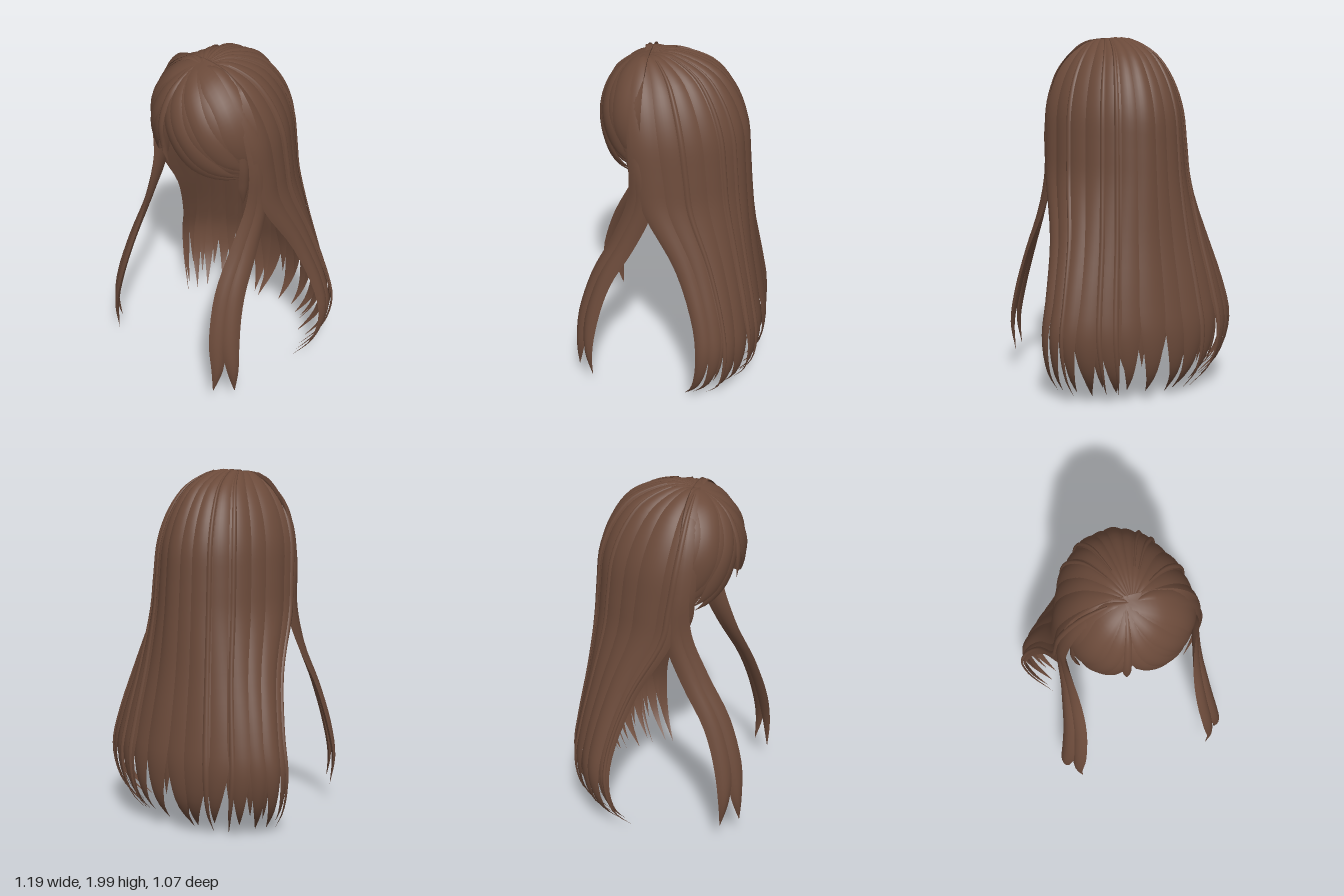
import * as THREE from 'three';

const V = (x, y, z) => new THREE.Vector3(x, y, z);
const lerp = THREE.MathUtils.lerp;

let seed = 7;
const rand = () => (seed = (seed * 16807) % 2147483647) / 2147483647;

// Lens-shaped lock: place(s, v) gives a point p, outward normal n and thickness
function lockGeometry(place, rows = 30, cols = 6) {
  const pos = [], index = [];
  for (const side of [1, -0.35]) {
    const base = pos.length / 3;
    for (let i = 0; i <= rows; i++) {
      for (let j = 0; j <= cols; j++) {
        const s = (j / cols) * 2 - 1;
        const { p, n, thick } = place(s, i / rows);
        p.addScaledVector(n, thick * side * (1 - s * s));
        pos.push(p.x, p.y, p.z);
        if (i < rows && j < cols) {
          const a = base + i * (cols + 1) + j, b = a + 1, c = a + cols + 1, d = c + 1;
          if (side > 0) index.push(a, c, b, b, c, d);
          else index.push(a, b, c, b, d, c);
        }
      }
    }
  }
  const g = new THREE.BufferGeometry();
  g.setAttribute('position', new THREE.Float32BufferAttribute(pos, 3));
  g.setIndex(index);
  g.computeVertexNormals();
  return g;
}

// Pointed end: full width until start, then narrowing to nothing
const taper = (v, start) => (v < start ? 1 : 1 - Math.pow((v - start) / (1 - start), 1.6));

// Flow of the long hair from crown to tips: height, half width, centre z, depth
const flow = [
  [1.968, 0.005, 0.175, 0.005], [1.988, 0.11, 0.175, 0.175], [1.915, 0.225, 0.17, 0.365],
  [1.78, 0.315, 0.16, 0.475], [1.6, 0.372, 0.14, 0.525], [1.4, 0.392, 0.11, 0.515],
  [1.2, 0.41, 0.07, 0.49], [0.9, 0.465, -0.09, 0.36], [0.6, 0.54, -0.19, 0.31],
  [0.38, 0.58, -0.21, 0.32], [0.17, 0.54, -0.17, 0.33], [0.005, 0.43, -0.08, 0.3],
];
const heightWidth = new THREE.CatmullRomCurve3(flow.map(r => V(r[1], r[0], 0)), false, 'catmullrom', 0.5);
const depth = new THREE.CatmullRomCurve3(flow.map(r => V(r[2], r[3], 0)), false, 'catmullrom', 0.5);

function backPoint(u, t) {
  const a = u * 1.66, h = heightWidth.getPoint(t), d = depth.getPoint(t);
  // The crown slopes down a little more towards the sides
  const drop = 0.025 * Math.sin(a) ** 2 * Math.sin(Math.PI * Math.min(1, t * 2.8));
  return V(h.x * Math.sin(a), h.y - drop, d.x - d.y * Math.cos(a));
}
function backNormal(u, t) {
  const e = 0.004, t0 = Math.max(t, 0.02);
  const du = backPoint(u + e, t0).sub(backPoint(u - e, t0));
  const dt = backPoint(u, Math.min(1, t0 + e)).sub(backPoint(u, t0 - e));
  return du.cross(dt).normalize();
}
function backLock(u, half, thick, lift, start, end, taperAt, drift) {
  return lockGeometry((s, v) => {
    const t = lerp(start, end, v);
    const uu = u + s * half * taper(v, taperAt) + drift * Math.max(0, v - 0.7) ** 2 * 10;
    const n = backNormal(uu, t), grow = Math.min(1, t * 5);
    const p = backPoint(uu, t).addScaledVector(n, lift * grow);
    return { p, n, thick: thick * grow * taper(v, taperAt) };
  }, 40, 8);
}

// Lining under the back hair with a stepped lower edge
function capGeometry() {
  return lockGeometry((s, v) => {
    const end = Math.max(0.36, Math.round((0.575 - 0.57 * s * s) * 60) / 60);
    const t = lerp(0.004, end, v), n = backNormal(s, t);
    return { p: backPoint(s, t).addScaledVector(n, -0.025 * Math.min(1, t * 5)), n, thick: 0.003 };
  }, 24, 60);
}

// Rounded surface that the fringe lies on
function fringePoint(x, y) {
  const dy = y - 1.62, ry = dy > 0 ? 0.36 : 0.5, rx = x > 0 ? 0.36 : 0.35;
  const z = 0.1 + 0.315 * Math.sqrt(Math.max(0.02, 1 - (x / rx) ** 2 - (dy / ry) ** 2));
  const n = V(x / (rx * rx), dy / (ry * ry), (z - 0.1) / 0.1).normalize();
  return { p: V(x, y, z), n };
}
function fringeLock(control, end, half, lift = 0) {
  const curve = new THREE.QuadraticBezierCurve(
    new THREE.Vector2(-0.035, 1.968), new THREE.Vector2(...control), new THREE.Vector2(...end));
  return lockGeometry((s, v) => {
    const c = curve.getPoint(v), d = curve.getTangent(v);
    const w = s * half * Math.min(1, 0.3 + v * 2.4) * taper(v, 0.72);
    const { p, n } = fringePoint(c.x - d.y * w, c.y + d.x * w);
    p.addScaledVector(n, lift * Math.min(1, v * 4));
    return { p, n, thick: 0.012 * Math.min(1, v * 4) * taper(v, 0.5) };
  }, 22);
}

// Free lock along a path; its width turns from front-back to a diagonal
function pathLock(points, half, thick, turn, mirror) {
  const curve = new THREE.CatmullRomCurve3(points.map(p => V(...p)));
  return lockGeometry((s, v) => {
    const p = curve.getPoint(v), tan = curve.getTangent(v);
    const a = turn * THREE.MathUtils.smoothstep(v, 0.35, 0.7);
    const across = V(-Math.sin(a), 0, Math.cos(a));
    across.addScaledVector(tan, -across.dot(tan)).normalize();
    const n = tan.clone().cross(across).normalize();
    if (n.x < 0) n.negate();
    const width = half * lerp(1.1, 0.8, v) * Math.min(1, 0.2 + v * 3) * taper(v, 0.76);
    p.addScaledVector(across, s * width);
    p.x *= mirror;
    n.x *= mirror;
    return { p, n, thick: thick * Math.min(1, 0.3 + v * 2) * taper(v, 0.75) };
  }, 36);
}

export function createModel() {
  seed = 7;
  const model = new THREE.Group();
  const brown = new THREE.MeshStandardMaterial({ color: 0x6b4a3a, side: THREE.DoubleSide });
  brown.name = 'brown hair';
  const group = name => {
    const g = new THREE.Group();
    g.name = name;
    model.add(g);
    return g;
  };
  const add = (parent, name, geometry) => {
    const m = new THREE.Mesh(geometry, brown);
    m.name = name;
    parent.add(m);
  };

  add(model, 'innerCap', capGeometry());

  // Long wide locks around the sides and back
  const back = group('backHair');
  const count = 14;
  for (let i = 0; i < count; i++) {
    const u = ((i + 0.5) / count) * 2 - 1;
    add(back, 'backLock', backLock(u, 0.08 + rand() * 0.014, 0.009 + rand() * 0.005,
      (i % 2) * 0.006 - 0.006, 0.004, 0.96 + rand() * 0.04, 0.68 + rand() * 0.08, (rand() - 0.5) * 0.14));
  }

  // Shorter locks on the inner side of the back hair
  const inner = group('innerLocks');
  for (let i = 0; i < 13; i++) {
    const u = ((i + 1) / 14) * 2 - 1;
    add(inner, 'innerLock', backLock(u, 0.06, 0.01, -0.022, 0.35, 0.88 + rand() * 0.08, 0.6, (rand() - 0.5) * 0.1));
  }

  // Thin stray locks over the back
  const stray = group('strayLocks');
  for (const u of [-0.94, -0.45, -0.27, 0.31, 0.42, 0.7]) {
    add(stray, 'strayLock', backLock(u, 0.02, 0.009, 0.01, 0.1, 0.97 + rand() * 0.03, 0.78, (rand() - 0.5) * 0.1));
  }

  // Swept fringe on both sides of the parting
  const fringe = group('fringe');
  const fan = (n, c0, c1, e0, e1, half) => {
    for (let i = 0; i < n; i++) {
      const k = i / (n - 1);
      add(fringe, 'fringeLock', fringeLock(
        [lerp(c0[0], c1[0], k), lerp(c0[1], c1[1], k)],
        [lerp(e0[0], e1[0], k), lerp(e0[1], e1[1], k)], half, (i % 2) * 0.005 - 0.004));
    }
  };
  fan(6, [-0.09, 1.6], [0.31, 1.93], [0.3, 1.4], [0.345, 1.5], 0.056);
  fan(5, [-0.1, 1.7], [-0.33, 1.93], [-0.27, 1.36], [-0.335, 1.5], 0.048);
  add(fringe, 'partingLock', fringeLock([-0.1, 1.75], [-0.085, 1.5], 0.022, 0.004));
  for (const [x, y] of [[-0.21, 1.46], [-0.16, 1.52], [-0.03, 1.56]]) {
    add(fringe, 'underLock', fringeLock([x * 0.8, 1.75], [x, y], 0.03, -0.02));
  }

  // Long locks in front of the shoulders
  const sides = group('sideLocks');
  const upper = [[0.04, 1.96, 0.165], [0.205, 1.895, 0.17], [0.315, 1.74, 0.165], [0.368, 1.5, 0.15]];
  for (const m of [1, -1]) {
    add(sides, 'frontLock', pathLock([...upper, [0.365, 1.25, 0.165], [0.36, 1.0, 0.265],
      [0.37, 0.75, 0.4], [0.4, 0.5, 0.48], [0.42, 0.3, 0.51], [0.4, 0.14, 0.525]], 0.062, 0.026, 0.65, m));
    add(sides, 'outerLock', pathLock([...upper, [0.378, 1.25, 0.135], [0.385, 1.0, 0.23],
      [0.41, 0.75, 0.36], [0.45, 0.5, 0.435], [0.485, 0.3, 0.45], [0.48, 0.13, 0.43]], 0.062, 0.026, 0.65, m));
    add(sides, 'cheekLock', pathLock([[0.2, 1.86, 0.19], [0.3, 1.7, 0.2], [0.325, 1.5, 0.2],
      [0.31, 1.36, 0.19], [0.29, 1.22, 0.17]], 0.035, 0.014, 0.3, m));
  }
  return model;
}
